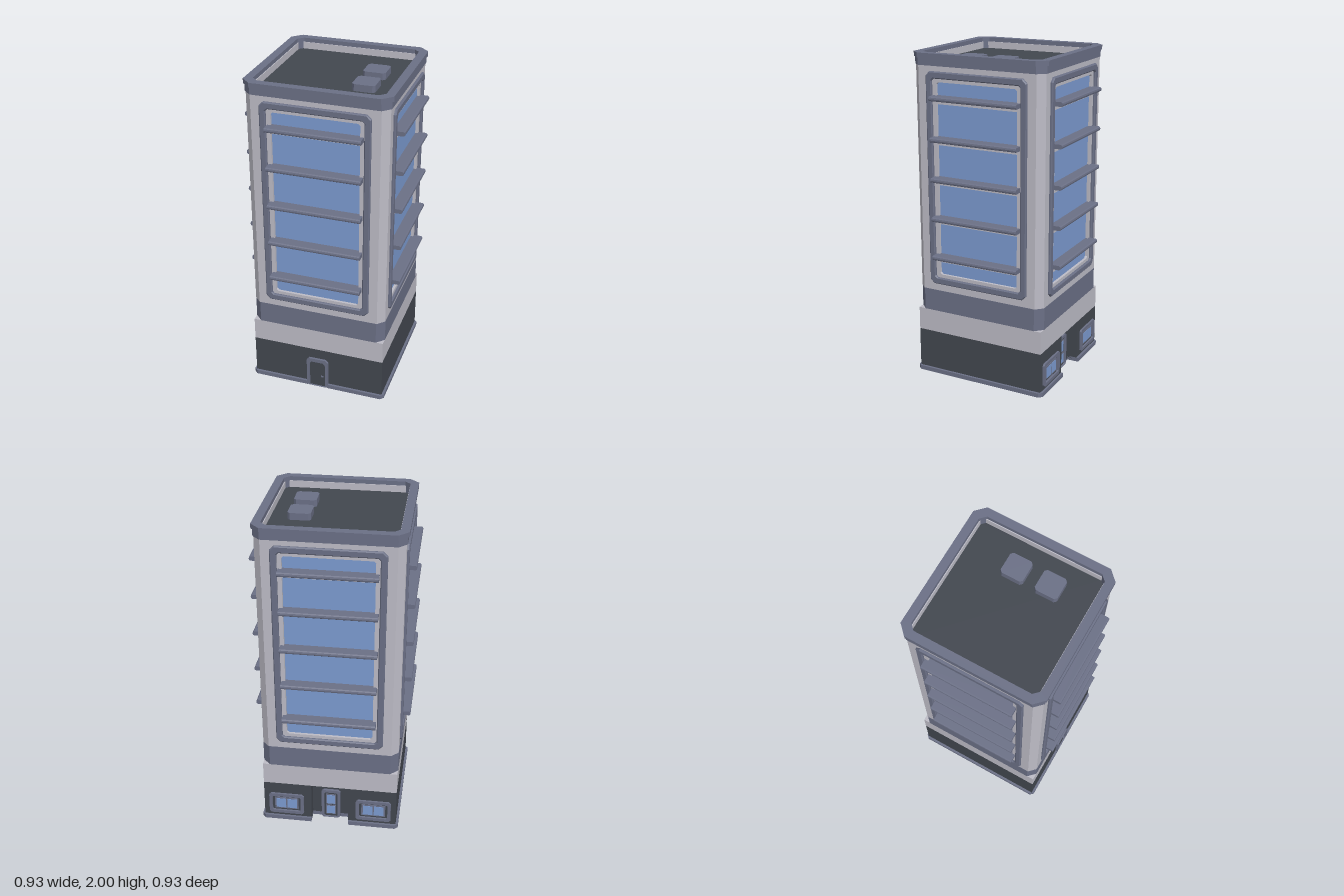
import * as THREE from 'three';

const paint = (name, color) => {
  const m = new THREE.MeshStandardMaterial({ color });
  m.name = name;
  return m;
};

export function createModel() {
  const model = new THREE.Group();
  model.name = 'towerBlock';
  const wall = paint('paleWall', 0xbdbcc6);
  const slate = paint('slateTrim', 0x6b7086);
  const dark = paint('darkBase', 0x42474f);
  const glass = paint('blueGlass', 0x7c9bd0);
  const rock = paint('rock', 0x8a8074);
  const soil = paint('brownSoil', 0x8f6032);

  const add = (parent, name, geometry, material) => {
    const mesh = new THREE.Mesh(geometry, material);
    mesh.name = name;
    parent.add(mesh);
    return mesh;
  };
  const box = (parent, name, material, x0, x1, y0, y1, z0, z1) => {
    const g = new THREE.BoxGeometry(x1 - x0, y1 - y0, z1 - z0);
    g.translate((x0 + x1) / 2, (y0 + y1) / 2, (z0 + z1) / 2);
    return add(parent, name, g, material);
  };
  const points = (list) => list.map(([x, y]) => new THREE.Vector2(x, y));
  // Rectangle with cut corners
  const cutRect = (x0, x1, y0, y1, c) => points([
    [x0 + c, y0], [x1 - c, y0], [x1, y0 + c], [x1, y1 - c],
    [x1 - c, y1], [x0 + c, y1], [x0, y1 - c], [x0, y0 + c]]);
  const extrude = (outline, hole, depth, bevel = 0) => {
    const shape = new THREE.Shape(outline);
    if (hole) shape.holes.push(new THREE.Path(hole));
    return new THREE.ExtrudeGeometry(shape, {
      depth: depth - bevel, bevelEnabled: bevel > 0, bevelSize: bevel,
      bevelOffset: -bevel, bevelThickness: bevel, bevelSegments: 1 });
  };
  // Horizontal slab; outline y is the model's -z
  const slab = (parent, name, material, outline, y0, y1, hole) => {
    const g = extrude(outline, hole, y1 - y0);
    g.rotateX(-Math.PI / 2).translate(0, y0, 0);
    return add(parent, name, g, material);
  };
  // Upright ring or plate facing +z
  const plate = (parent, name, material, outline, z0, z1, hole, bevel = 0) => {
    const g = extrude(outline, hole, z1 - z0, bevel);
    return add(parent, name, g.translate(0, 0, z0), material);
  };
  const square = (h, c) => cutRect(-h, h, -h, h, c);

  // Ground floor, notched at the back for the entrance
  const B = 0.41, N = 0.115, inner = 0.35;
  slab(model, 'groundFloor', dark, points([
    [-B, -B], [B, -B], [B, B], [N, B], [N, inner], [-N, inner], [-N, B], [-B, B]]), 0.05, 0.31);
  const T = 0.424, c = 0.02, D = 0.06;
  slab(model, 'baseTrim', slate, points([
    [-T + c, -T], [-D, -T], [-D, -B], [D, -B], [D, -T], [T - c, -T], [T, -T + c],
    [T, T - c], [T - c, T], [N, T], [N, inner], [-N, inner], [-N, T], [-T + c, T], [-T, T - c], [-T, -T + c]]),
    0.04, 0.066);
  box(model, 'paleBand', wall, -B, B, 0.31, 0.45, -B, B);
  slab(model, 'slateBand', slate, square(0.411, 0.045), 0.45, 0.585);

  // Four window walls, one per side
  const finProfile = points([
    [0.385, 0], [0.457, 0], [0.463, 0.004], [0.465, 0.012], [0.463, 0.021], [0.457, 0.026], [0.385, 0.026]]);
  for (let i = 0; i < 4; i++) {
    const side = new THREE.Group();
    side.name = 'windowWall' + (i + 1);
    side.rotation.y = i * Math.PI / 2;
    model.add(side);
    plate(side, 'wallPanel', wall, cutRect(-0.37, 0.37, 0.585, 1.975, 0), 0.37, B,
      cutRect(-0.255, 0.255, 0.69, 1.84, 0.012));
    slab(side, 'cornerPost', wall, points([[0.36, -0.36], [0.37, -B], [B, -0.37]]), 0.585, 1.975);
    box(side, 'windowGlass', glass, -0.27, 0.27, 0.68, 1.85, 0.375, 0.394);
    plate(side, 'windowFrame', slate, cutRect(-0.318, 0.318, 0.63, 1.9, 0.025), 0.4, 0.424,
      cutRect(-0.28, 0.28, 0.67, 1.86, 0.012), 0.006);
    for (let k = 0; k < 5; k++) {
      const y = 0.793 + k * 0.2365;
      const fin = extrude(finProfile, null, 0.55);
      fin.translate(0, 0, -0.275).rotateY(-Math.PI / 2).translate(0, y, 0);
      add(side, 'sunShade', fin, slate);
      box(side, 'mullion', wall, -0.275, 0.275, y - 0.022, y, 0.385, 0.415);
    }
  }

  // Roof deck, parapet and rooftop units
  slab(model, 'roofDeck', dark, square(0.38, 0.03), 1.9, 1.935);
  const rim = square(0.375, 0.032);
  slab(model, 'parapetBase', slate, square(0.415, 0.045), 1.93, 1.976, rim);
  slab(model, 'parapetCap', slate, square(0.424, 0.055), 1.972, 2, rim);
  for (const z of [-0.068, 0.135]) {
    slab(model, 'roofUnit', slate, cutRect(0.138, 0.27, -z - 0.067, -z + 0.067, 0.014), 1.93, 1.975);
  }

  // Front door
  plate(model, 'frontDoorFrame', slate, cutRect(-0.068, 0.068, 0.04, 0.245, 0.015), 0.4, 0.424,
    points([[-0.05, 0.041], [0.05, 0.041], [0.05, 0.205], [0.038, 0.222], [-0.038, 0.222], [-0.05, 0.205]]));
  box(model, 'frontDoor', dark, -0.052, 0.052, 0.04, 0.225, 0.4, 0.414);
  box(model, 'frontDoorHandle', slate, 0.022, 0.038, 0.112, 0.12, 0.412, 0.42);

  // Back entrance and windows, built facing +z and turned round
  const back = new THREE.Group();
  back.name = 'backEntrance';
  back.rotation.y = Math.PI;
  model.add(back);
  plate(back, 'backDoorFrame', slate, cutRect(-0.058, 0.058, 0.04, 0.25, 0.012), 0.345, 0.366,
    cutRect(-0.042, 0.042, 0.045, 0.232, 0.008));
  box(back, 'backDoor', dark, -0.045, 0.045, 0.042, 0.235, 0.345, 0.356);
  for (const [y0, y1] of [[0.068, 0.125], [0.145, 0.21]]) {
    plate(back, 'doorPaneFrame', slate, cutRect(-0.031, 0.031, y0 - 0.006, y1 + 0.006, 0), 0.354, 0.36);
    box(back, 'doorPane', glass, -0.025, 0.025, y0, y1, 0.355, 0.362);
  }
  for (const s of [-1, 1]) {
    const x = s * 0.27;
    plate(back, 'groundWindowFrame', slate, cutRect(x - 0.108, x + 0.108, 0.088, 0.235, 0.012), 0.4, 0.422,
      cutRect(x - 0.088, x + 0.088, 0.108, 0.215, 0.006));
    plate(back, 'groundWindowSash', slate, cutRect(x - 0.074, x + 0.074, 0.12, 0.203, 0), 0.4, 0.415);
    for (const p of [-1, 1]) {
      const px = x + p * 0.034;
      box(back, 'groundWindowPane', glass, px - 0.03, px + 0.03, 0.128, 0.195, 0.41, 0.417);
    }
  }

  // Rock foundation under the building
  const lump = (name, material, rTop, rBottom, y0, y1, n, sx, sz) => {
    const g = new THREE.CylinderGeometry(rTop, rBottom, y1 - y0, n).toNonIndexed();
    g.scale(sx, 1, sz).translate(0, (y0 + y1) / 2, 0);
    g.computeVertexNormals();
    add(model, name, g, material);
  };
  lump('foundationRock', rock, 1, 0.75, 0.003, 0.042, 8, 0.25, 0.32);
  lump('soilPatch', soil, 0.12, 0.12, 0, 0.006, 6, 0.9, 1.15);

  return model;
}
